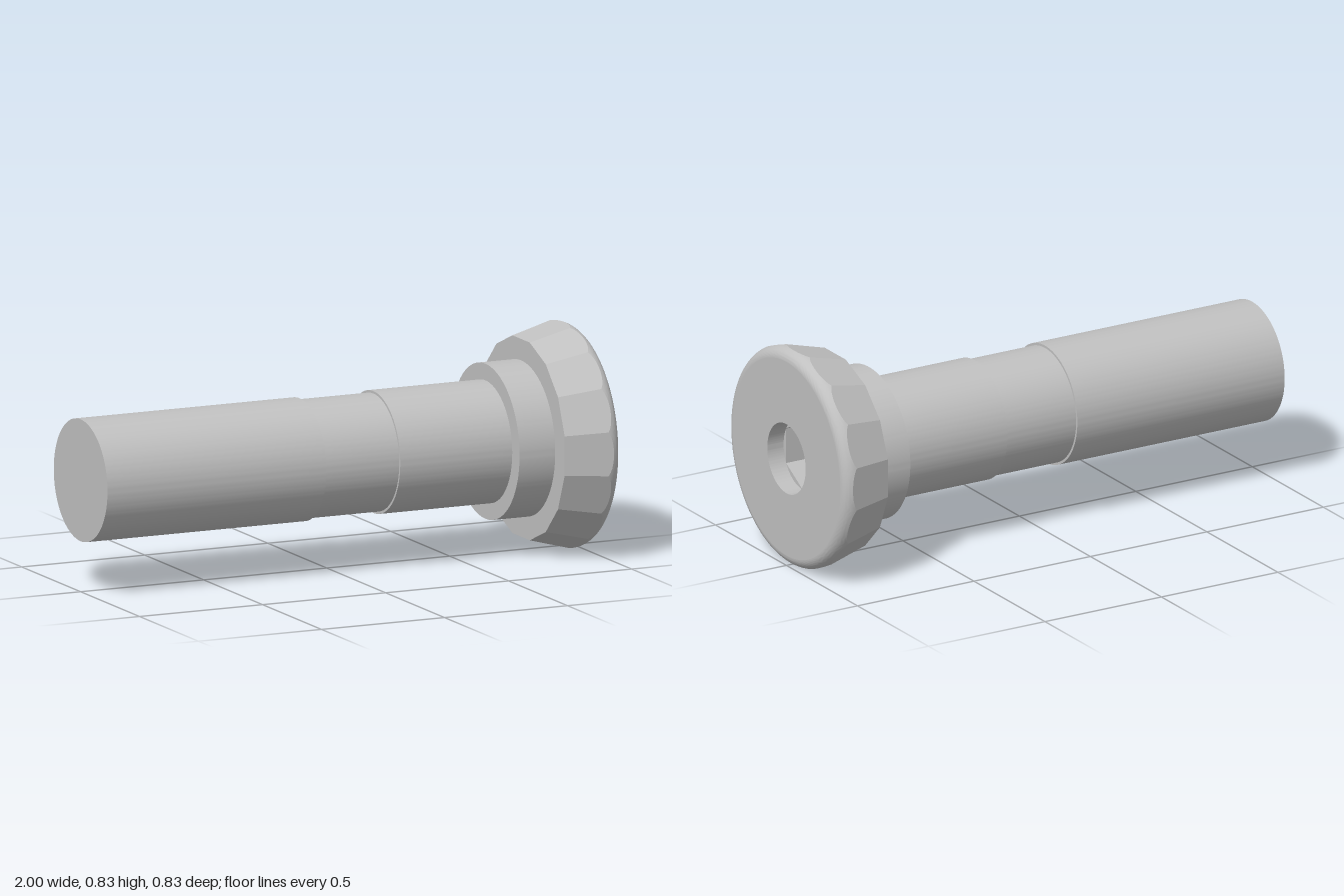
import * as THREE from 'three';
import { toCreasedNormals } from 'three/addons/utils/BufferGeometryUtils.js';

const SEGMENTS = 192; // divisible by 16 (head facets) and 6 (hex socket)
const AXIS_Y = 0.42;

// Radius factor of a regular polygon with apothem 1; offset is the angle of a flat's middle
function polygon(theta, sides, offset = 0) {
  const step = (2 * Math.PI) / sides;
  const t = theta - offset;
  return 1 / Math.cos(t - Math.round(t / step) * step);
}

// Surface around the x axis; each row is [x, r] or a function theta -> [x, r]
function surface(rows) {
  const positions = [], index = [];
  for (const row of rows) {
    for (let j = 0; j < SEGMENTS; j++) {
      const theta = (j / SEGMENTS) * 2 * Math.PI;
      const [x, r] = typeof row === 'function' ? row(theta) : row;
      positions.push(x, r * Math.cos(theta), r * Math.sin(theta));
    }
  }
  for (let i = 0; i < rows.length - 1; i++) {
    for (let j = 0; j < SEGMENTS; j++) {
      const k = (j + 1) % SEGMENTS;
      const a = i * SEGMENTS + j, b = i * SEGMENTS + k;
      const c = a + SEGMENTS, d = b + SEGMENTS;
      index.push(a, b, c, b, d, c);
    }
  }
  const geometry = new THREE.BufferGeometry();
  geometry.setAttribute('position', new THREE.Float32BufferAttribute(positions, 3));
  geometry.setIndex(index);
  return toCreasedNormals(geometry, 0.3);
}

// Tapered 16-sided head and the rounded rim that trims it
const taper = (x) => 0.37 + 0.264 * (x - 0.79);
const rim = (t) => [0.95 + 0.05 * Math.sin(t), 0.378 + 0.042 * Math.cos(t)];

// Rim angle at which the facets meet the rounding
function trimAngle(theta) {
  const p = polygon(theta, 16);
  let lo = -0.3, hi = Math.PI / 2;
  for (let i = 0; i < 30; i++) {
    const mid = (lo + hi) / 2;
    const [x, r] = rim(mid);
    if (r < taper(x) * p) hi = mid;
    else lo = mid;
  }
  return hi;
}

export function createModel() {
  const group = new THREE.Group();
  const steel = new THREE.MeshStandardMaterial({ color: 0xc0c0c0 });
  steel.name = 'steel grey';

  const add = (name, rows) => {
    const mesh = new THREE.Mesh(surface(rows), steel);
    mesh.name = name;
    mesh.position.y = AXIS_Y;
    group.add(mesh);
  };

  // Shank with a slightly thinner neck
  add('shank', [[-1, 0], [-1, 0.228], [-0.11, 0.228], [-0.11, 0.219]]);
  add('neck', [[-0.11, 0.219], [0.19, 0.219]]);
  add('shoulder', [[0.19, 0.219], [0.19, 0.228], [0.645, 0.228]]);
  add('collar', [[0.645, 0.228], [0.645, 0.29], [0.79, 0.29]]);

  // Faceted back of the head
  add('headFacets', [
    [0.79, 0.29],
    (a) => [0.79, taper(0.79) * polygon(a, 16)],
    (a) => rim(trimAngle(a)),
  ]);

  // Rounded front rim and flat face
  const rimRows = [];
  for (let i = 0; i <= 10; i++) {
    rimRows.push((a) => {
      const start = trimAngle(a);
      return rim(start + (Math.PI / 2 - start) * (i / 10));
    });
  }
  add('headRim', rimRows);
  add('headFace', [[1, 0.378], [1, 0.135]]);

  // Round counterbore leading into a hex socket
  const hex = (x) => (a) => [x, 0.117 * polygon(a, 6, Math.PI / 6)];
  add('counterbore', [[1, 0.135], [0.93, 0.135], hex(0.93)]);
  add('hexSocket', [hex(0.93), hex(0.75), [0.75, 0]]);

  return group;
}
